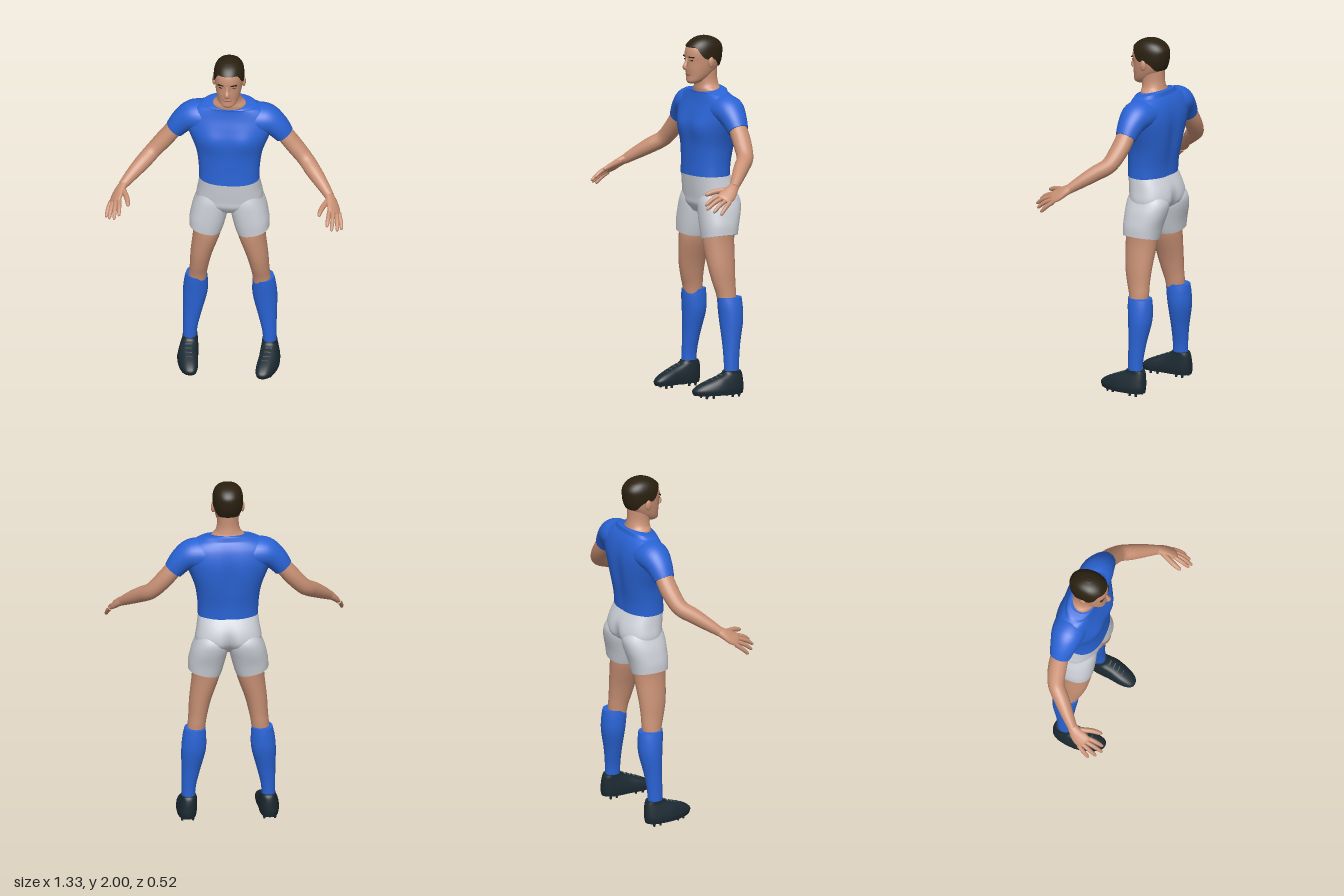
import * as THREE from 'three';

const mat = (name, color, side = THREE.FrontSide) => {
  const m = new THREE.MeshStandardMaterial({ color, side });
  m.name = name;
  return m;
};
const SKIN = mat('skin', 0xc99175), SHIRT = mat('blue cloth', 0x2a64d6), SHORTS = mat('white cloth', 0xcdd1d8);
const SHOE = mat('dark shoe', 0x1c2a32), HAIR = mat('dark hair', 0x2a2010, THREE.DoubleSide);
const LIPS = mat('lips', 0xa86c5a), LACE = mat('lace', 0x52626c);

// Smooth interpolation through rows of numbers, t from 0 to 1
function smooth(rows, t) {
  const f = Math.min(Math.max(t, 0), 1) * (rows.length - 1);
  const i = Math.min(Math.floor(f), rows.length - 2), u = f - i;
  const p = k => rows[Math.min(Math.max(k, 0), rows.length - 1)];
  return p(i).map((b, c) => {
    const a = p(i - 1)[c], d = p(i + 1)[c], e = p(i + 2)[c];
    return b + 0.5 * u * (d - a + u * (2 * a - 5 * b + 4 * d - e + u * (3 * (b - d) + e - a)));
  });
}

// Skin over rings given by point(t, angle), with flat end caps
function surface(point, m, n, caps = true) {
  const pos = [], idx = [];
  const ring = t => {
    const start = pos.length / 3;
    for (let j = 0; j < n; j++) pos.push(...point(t, (j / n) * Math.PI * 2).toArray());
    return start;
  };
  for (let i = 0; i <= m; i++) ring(i / m);
  for (let i = 0; i < m; i++) for (let j = 0; j < n; j++) {
    const k = (j + 1) % n, a = i * n + j, b = i * n + k;
    idx.push(a, b, a + n, b, b + n, a + n);
  }
  if (caps) for (const t of [0, 1]) {
    const s = ring(t), c = new THREE.Vector3();
    for (let j = 0; j < n; j++) c.add(new THREE.Vector3().fromArray(pos, (s + j) * 3));
    const mid = pos.length / 3;
    pos.push(...c.divideScalar(n).toArray());
    for (let j = 0; j < n; j++) {
      const a = s + j, b = s + (j + 1) % n;
      if (t) idx.push(mid, a, b); else idx.push(mid, b, a);
    }
  }
  const g = new THREE.BufferGeometry();
  g.setAttribute('position', new THREE.Float32BufferAttribute(pos, 3));
  g.setIndex(idx);
  g.computeVertexNormals();
  return g;
}

// Upright form; rows are [y, centre x, half width, front z, back z], rising
function oval([y, cx, hw, zf, zb], a, p) {
  const s = Math.sin(a), c = Math.cos(a), e = 2 / p;
  return new THREE.Vector3(cx + hw * Math.sign(s) * Math.abs(s) ** e, y,
    (zf + zb) / 2 + (zf - zb) / 2 * Math.sign(c) * Math.abs(c) ** e);
}
function upright(rows, p = 2, tweak = () => {}, n = 40) {
  return surface((t, a) => {
    const v = oval(smooth(rows, t), a, p);
    tweak(v);
    return v;
  }, (rows.length - 1) * 5, n);
}

// Limb along a path; rows are [x, y, z, radius along ref, radius across]
function limb(rows, ref = [0, 0, 1], n = 20) {
  const R = new THREE.Vector3(...ref);
  return surface((t, a) => {
    const r = smooth(rows, t), c = new THREE.Vector3(...r);
    const T = new THREE.Vector3(...smooth(rows, t + 0.02)).sub(new THREE.Vector3(...smooth(rows, t - 0.02))).normalize();
    const U = R.clone().addScaledVector(T, -R.dot(T)).normalize(), V = T.clone().cross(U);
    return c.addScaledVector(U, Math.cos(a) * r[3]).addScaledVector(V, Math.sin(a) * r[4]);
  }, (rows.length - 1) * 5, n);
}

function mirrored(geo) {
  const g = geo.clone().scale(-1, 1, 1), ix = g.index.array;
  for (let i = 0; i < ix.length; i += 3) [ix[i], ix[i + 1]] = [ix[i + 1], ix[i]];
  g.computeVertexNormals();
  return g;
}

const bump = (d, w) => Math.exp(-((d / w) ** 2));

export function createModel() {
  const model = new THREE.Group();
  model.name = 'footballPlayer';
  const add = (name, geo, m) => {
    const mesh = new THREE.Mesh(geo, m);
    mesh.name = name;
    model.add(mesh);
  };
  const pair = (name, geo, m) => {
    add(name + 'Left', geo, m);
    add(name + 'Right', mirrored(geo), m);
  };

  // Shirt with chest, spine hollow and dipped collar
  add('shirtBody', upright([
    [1.225, 0, 0.168, 0.003, -0.223], [1.3, 0, 0.17, 0, -0.228], [1.4, 0, 0.185, 0, -0.245],
    [1.5, 0, 0.222, 0.002, -0.255], [1.57, 0, 0.248, -0.015, -0.253], [1.63, 0, 0.243, -0.035, -0.24],
    [1.67, 0, 0.2, -0.045, -0.222], [1.693, 0, 0.145, -0.048, -0.205], [1.703, 0, 0.103, -0.05, -0.195],
  ], 2.3, v => {
    if (v.z > -0.08) v.z += 0.012 * bump(v.y - 1.5, 0.07) * bump(Math.abs(v.x) - 0.09, 0.06);
    else if (v.z < -0.18) v.z += 0.014 * bump(v.x, 0.04) * bump(v.y - 1.45, 0.15);
    if (v.y > 1.69) v.y -= (v.z + 0.12) * 0.2;
  }, 64), SHIRT);
  pair('sleeve', limb([
    [0.11, 1.595, -0.14, 0.095, 0.085], [0.195, 1.598, -0.138, 0.092, 0.085],
    [0.255, 1.563, -0.136, 0.076, 0.07], [0.305, 1.502, -0.135, 0.059, 0.056],
  ], [0, 0, 1], 32), SHIRT);

  // Shorts: seat with a cleft, and two slanted legs
  add('shortsSeat', upright([
    [1.015, 0, 0.1, -0.05, -0.2], [1.06, 0, 0.17, -0.02, -0.25], [1.1, 0, 0.184, -0.015, -0.266],
    [1.16, 0, 0.175, -0.008, -0.255], [1.235, 0, 0.164, -0.001, -0.218],
  ], 2.4, v => {
    if (v.z < -0.17) v.z += 0.03 * bump(v.x, 0.025) * bump(v.y - 1.07, 0.07);
  }, 64), SHORTS);
  pair('shortsLeg', upright([
    [0.885, 0.133, 0.09, -0.02, -0.222], [0.95, 0.121, 0.1, -0.016, -0.235], [1.03, 0.103, 0.103, -0.016, -0.258],
    [1.09, 0.092, 0.092, -0.02, -0.262], [1.15, 0.085, 0.075, -0.04, -0.23],
  ], 2.3, v => {
    v.y += (v.x - 0.133) * 0.22 * Math.min(1, Math.max(0, (1 - v.y) / 0.1));
  }), SHORTS);

  // Legs and socks
  pair('leg', upright([
    [0.5, 0.183, 0.05, -0.09, -0.19], [0.57, 0.176, 0.05, -0.078, -0.195], [0.63, 0.168, 0.053, -0.06, -0.195],
    [0.72, 0.154, 0.062, -0.04, -0.2], [0.85, 0.125, 0.077, -0.026, -0.21], [0.93, 0.12, 0.08, -0.03, -0.215],
  ]), SKIN);
  pair('sock', upright([
    [0.12, 0.223, 0.037, -0.1, -0.185], [0.2, 0.22, 0.04, -0.1, -0.188], [0.3, 0.209, 0.052, -0.099, -0.2],
    [0.42, 0.195, 0.068, -0.091, -0.224], [0.5, 0.19, 0.066, -0.083, -0.226], [0.552, 0.187, 0.058, -0.08, -0.222],
  ]), SHIRT);

  // Shoes with laces and studs
  const toe = z => -0.028 * Math.max(0, (z + 0.05) / 0.14);
  pair('shoe', upright([
    [0.018, 0.228, 0.054, 0.085, -0.205], [0.045, 0.228, 0.058, 0.092, -0.21], [0.075, 0.226, 0.055, 0.055, -0.21],
    [0.105, 0.224, 0.048, -0.015, -0.208], [0.13, 0.222, 0.042, -0.08, -0.203], [0.146, 0.222, 0.041, -0.095, -0.195],
  ], 2.5, v => { v.x += toe(v.z); }), SHOE);
  for (let i = 0; i < 4; i++) {
    const z = -0.07 + i * 0.027;
    pair('lace', new THREE.BoxGeometry(0.036, 0.006, 0.006)
      .translate(0.223 + toe(z), 0.126 - i * 0.0115, z), LACE);
  }
  for (const z of [-0.17, -0.13, -0.01, 0.03]) for (const x of [-0.03, 0.03]) {
    pair('stud', new THREE.CylinderGeometry(0.009, 0.006, 0.024, 10).translate(0.228 + x + toe(z), 0.012, z), SHOE);
  }

  // Arms and hands
  pair('arm', limb([
    [0.27, 1.555, -0.135, 0.045, 0.045], [0.31, 1.5, -0.135, 0.052, 0.048], [0.365, 1.432, -0.127, 0.052, 0.048],
    [0.425, 1.365, -0.105, 0.046, 0.045], [0.475, 1.323, -0.05, 0.043, 0.044], [0.53, 1.277, 0.01, 0.035, 0.036],
    [0.575, 1.236, 0.062, 0.026, 0.026],
  ]), SKIN);
  const across = [0.065, -0.05, -0.04];
  pair('palm', limb([
    [0.565, 1.245, 0.05, 0.026, 0.023], [0.585, 1.226, 0.08, 0.034, 0.022], [0.601, 1.202, 0.115, 0.044, 0.019],
    [0.611, 1.185, 0.147, 0.043, 0.014], [0.614, 1.178, 0.157, 0.034, 0.008],
  ], across), SKIN);
  const fingers = {
    thumb: [[0.572, 1.228, 0.09], [0.543, 1.217, 0.165], [0.53, 1.2, 0.222]],
    indexFinger: [[0.586, 1.204, 0.145], [0.582, 1.182, 0.205], [0.579, 1.15, 0.25]],
    middleFinger: [[0.604, 1.192, 0.145], [0.606, 1.167, 0.205], [0.605, 1.13, 0.258]],
    ringFinger: [[0.621, 1.178, 0.138], [0.63, 1.152, 0.188], [0.635, 1.115, 0.232]],
    littleFinger: [[0.635, 1.167, 0.125], [0.648, 1.137, 0.163], [0.656, 1.102, 0.196]],
  };
  for (const [name, [a, b, c]] of Object.entries(fingers)) {
    const r = name === 'thumb' ? 0.0145 : 0.012;
    const near = c.map((v, i) => v + (b[i] - v) * 0.2);
    pair(name, limb([[...a, r, r], [...b, r, r], [...near, r * 0.75, r * 0.75], [...c, 0.003, 0.003]], across, 12), SKIN);
  }

  // Neck and head
  add('neck', upright([
    [1.65, 0, 0.1, -0.06, -0.185], [1.7, 0, 0.094, -0.053, -0.19], [1.727, 0, 0.07, -0.052, -0.184],
    [1.77, 0, 0.06, -0.046, -0.178], [1.84, 0, 0.06, -0.04, -0.18],
  ]), SKIN);
  const head = [
    [1.738, 0, 0.026, -0.004, -0.06], [1.752, 0, 0.045, 0.005, -0.09], [1.78, 0, 0.06, 0.004, -0.13],
    [1.82, 0, 0.071, 0.008, -0.175], [1.86, 0, 0.077, 0.008, -0.195], [1.9, 0, 0.079, 0.012, -0.202],
    [1.94, 0, 0.075, 0.003, -0.2], [1.97, 0, 0.06, -0.025, -0.175], [1.987, 0, 0.036, -0.06, -0.14],
    [1.994, 0, 0.004, -0.095, -0.105],
  ];
  add('head', upright(head, 2.15), SKIN);

  // Cropped hair: a shell whose lower edge runs from forehead to nape
  add('hair', surface((t, a) => {
    const side = Math.min(a, Math.PI * 2 - a), step = THREE.MathUtils.smoothstep;
    const low = 6.1 - 1.7 * step(side, 0.65, 1.4) - 1.2 * step(side, 1.7, 2.5);
    const row = smooth(head, (low + (9 - low) * t) / 9);
    return oval([row[0] + 0.006 * t, 0, row[2] + 0.006, row[3] + 0.006, row[4] - 0.006], a, 2.15);
  }, 30, 48), HAIR);

  // Face
  add('nose', limb([
    [0, 1.885, 0.004, 0.008, 0.007], [0, 1.855, 0.014, 0.009, 0.01], [0, 1.832, 0.023, 0.013, 0.014],
    [0, 1.818, 0.014, 0.008, 0.015],
  ]), SKIN);
  const ball = (x, y, z, sx, sy, sz) => new THREE.SphereGeometry(1, 16, 10).scale(sx, sy, sz).translate(x, y, z);
  pair('ear', ball(0.08, 1.858, -0.1, 0.012, 0.031, 0.019).rotateY(-0.02), SKIN);
  pair('brow', new THREE.BoxGeometry(0.036, 0.006, 0.008).rotateY(0.3).translate(0.036, 1.888, 0.002), HAIR);
  pair('eye', ball(0.034, 1.87, 0.0, 0.013, 0.004, 0.004).rotateY(0.02), HAIR);
  add('mouth', ball(0, 1.789, 0.003, 0.024, 0.007, 0.006), LIPS);
  return model;
}
